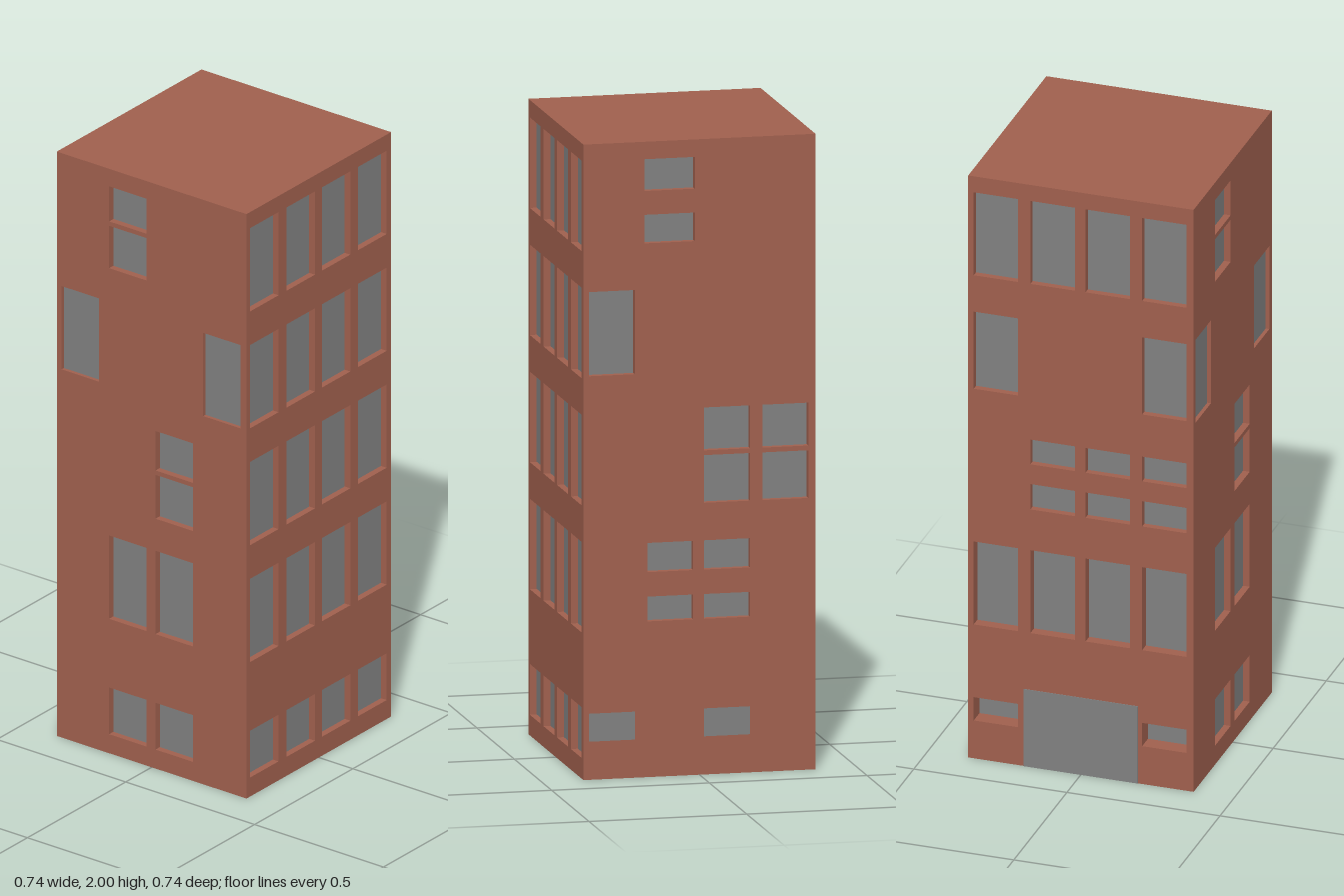
import * as THREE from 'three';
import { mergeGeometries } from 'three/addons/utils/BufferGeometryUtils.js';

const H = 2, R = 0.368;

const brick = new THREE.MeshStandardMaterial({ color: 0xa0604e });
brick.name = 'brick';
const glass = new THREE.MeshStandardMaterial({ color: 0x808080 });
glass.name = 'grey glass';

// Window columns, as seen facing a wall
const COLS = [[-0.35, -0.205], [-0.165, -0.02], [0.015, 0.16], [0.2, 0.345]];

// Row of windows: column numbers, bottom, top and recess depth
const row = (cols, y0, y1, depth = 0.022) =>
  cols.map((c) => ({ u0: COLS[c][0], u1: COLS[c][1], y0, y1, depth }));
const win = (u0, u1, y0, y1, depth = 0.022) => [{ u0, u1, y0, y1, depth }];
const ALL = [0, 1, 2, 3];

const WALLS = {
  front: { turn: 0, windows: [
    row(ALL, 1.66, 1.945), row(ALL, 1.26, 1.545), row(ALL, 0.86, 1.145),
    row(ALL, 0.46, 0.745), row(ALL, 0.065, 0.225),
  ] },
  right: { turn: Math.PI / 2, windows: [
    win(-0.175, -0.015, 1.845, 1.945), win(-0.175, -0.015, 1.68, 1.77),
    row([0], 1.27, 1.535),
    row([2, 3], 1.02, 1.155), row([2, 3], 0.855, 1.005),
    row([1, 2], 0.645, 0.737), row([1, 2], 0.49, 0.568),
    row([0, 2], 0.12, 0.208, 0),
  ] },
  back: { turn: Math.PI, windows: [
    row(ALL, 1.66, 1.945), row([0, 3], 1.27, 1.535),
    row([1, 2, 3], 1.04, 1.125), row([1, 2, 3], 0.885, 0.972),
    row(ALL, 0.46, 0.745, 0.035), row([0, 3], 0.13, 0.21, 0.055),
  ] },
  left: { turn: -Math.PI / 2, windows: [
    row([1], 1.82, 1.94), row([1], 1.66, 1.805),
    row([0, 3], 1.26, 1.545, 0.012),
    row([2], 1.02, 1.155), row([2], 0.855, 1.005),
    row([1, 2], 0.46, 0.745), row([1, 2], 0.065, 0.225),
  ] },
};

// Four inward-facing sides of a window recess
function revealGeometry({ u0, u1, y0, y1, depth }) {
  const w = u1 - u0, h = y1 - y0, cx = (u0 + u1) / 2, cy = (y0 + y1) / 2, z = R - depth / 2;
  return mergeGeometries([
    new THREE.PlaneGeometry(depth, h).rotateY(Math.PI / 2).translate(u0, cy, z),
    new THREE.PlaneGeometry(depth, h).rotateY(-Math.PI / 2).translate(u1, cy, z),
    new THREE.PlaneGeometry(w, depth).rotateX(-Math.PI / 2).translate(cx, y0, z),
    new THREE.PlaneGeometry(w, depth).rotateX(Math.PI / 2).translate(cx, y1, z),
  ]);
}

function paneGeometry({ u0, u1, y0, y1, depth }) {
  return new THREE.PlaneGeometry(u1 - u0, y1 - y0)
    .translate((u0 + u1) / 2, (y0 + y1) / 2, R - depth);
}

function rectangle(Type, u0, u1, y0, y1) {
  return new Type([[u0, y0], [u1, y0], [u1, y1], [u0, y1]].map((p) => new THREE.Vector2(...p)));
}

function addMesh(parent, name, geometry, material) {
  const mesh = new THREE.Mesh(geometry, material);
  mesh.name = name;
  parent.add(mesh);
  return mesh;
}

// One wall with openings, recesses and panes
function makeWall(name, { turn, windows }) {
  const wall = new THREE.Group();
  wall.name = name + 'Wall';
  const list = windows.flat();
  const shape = rectangle(THREE.Shape, -R, R, 0, H);
  shape.holes = list.map((w) => rectangle(THREE.Path, w.u0, w.u1, w.y0, w.y1));
  addMesh(wall, name + 'Brickwork', new THREE.ShapeGeometry(shape).translate(0, 0, R), brick);
  const recessed = list.filter((w) => w.depth > 0);
  addMesh(wall, name + 'WindowReveals', mergeGeometries(recessed.map(revealGeometry)), brick);
  addMesh(wall, name + 'WindowPanes', mergeGeometries(list.map(paneGeometry)), glass);
  wall.rotation.y = turn;
  return wall;
}

export function createModel() {
  const model = new THREE.Group();
  model.name = 'apartmentBlock';

  for (const [name, spec] of Object.entries(WALLS)) model.add(makeWall(name, spec));

  // Flat roof and underside
  const slab = () => new THREE.PlaneGeometry(2 * R, 2 * R);
  addMesh(model, 'roof', slab().rotateX(-Math.PI / 2).translate(0, H, 0), brick);
  addMesh(model, 'underside', slab().rotateX(Math.PI / 2), brick);

  // Wide door, flush with the back wall
  addMesh(model, 'backDoor', new THREE.BoxGeometry(0.372, 0.265, 0.004).translate(0, 0.1325, -R), glass);

  return model;
}
